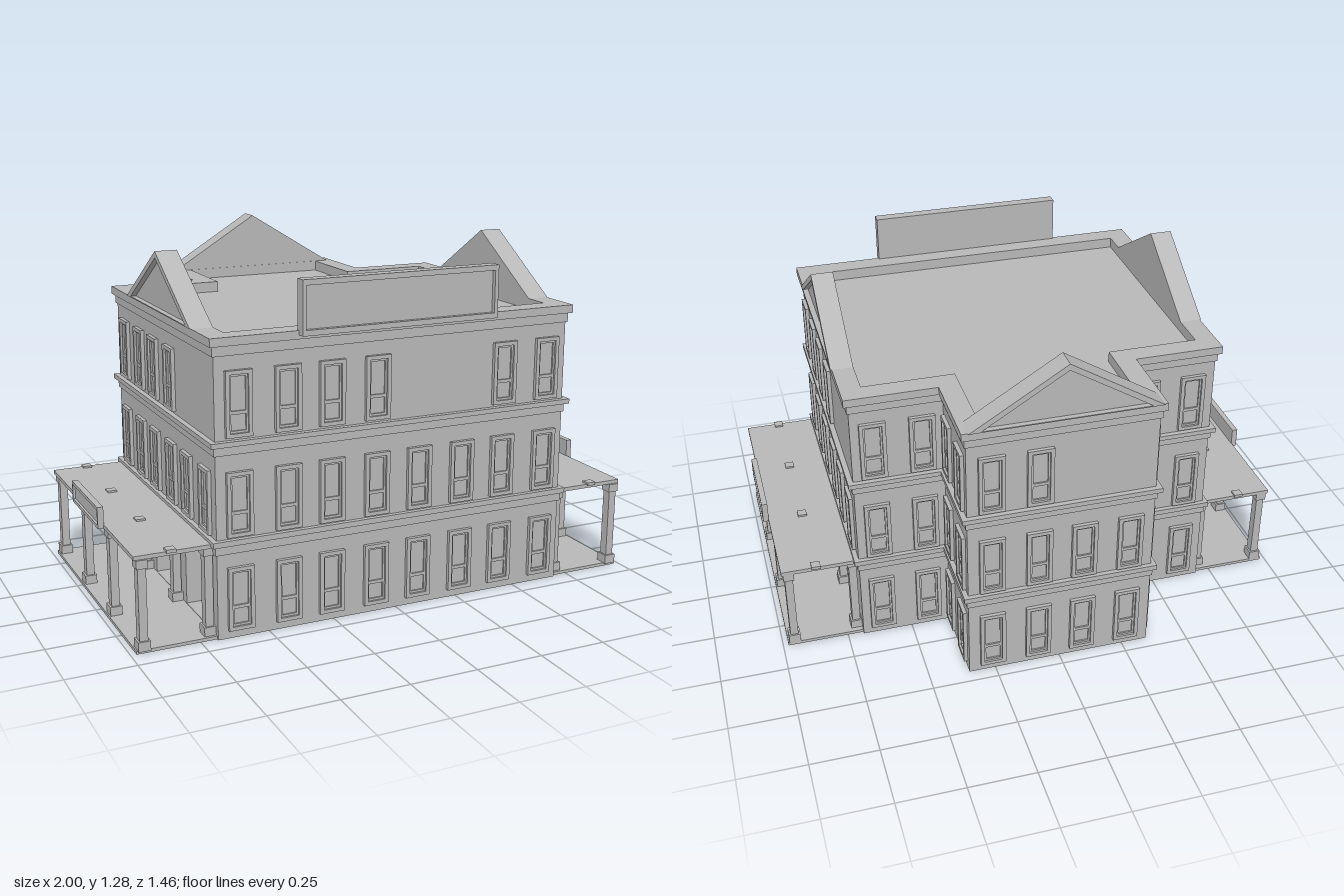
import * as THREE from 'three';

const stone = new THREE.MeshStandardMaterial({ color: 0xb8b8b8 });
stone.name = 'grey stone';

const HALF = 0.69, WING = 0.35, FRONT = 0.68, BACK = -0.38, WING_BACK = -0.70;

function add(parent, name, geo, x = 0, y = 0, z = 0, ry = 0) {
  const m = new THREE.Mesh(geo, stone);
  m.name = name;
  m.position.set(x, y, z);
  m.rotation.y = ry;
  parent.add(m);
  return m;
}

// Box given by its limits
function slab(parent, name, x0, x1, y0, y1, z0, z1) {
  return add(parent, name, new THREE.BoxGeometry(Math.abs(x1 - x0), y1 - y0, z1 - z0),
    (x0 + x1) / 2, (y0 + y1) / 2, (z0 + z1) / 2);
}

// T-shaped plan, grown outwards by o
function plan(o) {
  return [[-HALF - o, -FRONT - o], [HALF + o, -FRONT - o], [HALF + o, -BACK + o], [WING + o, -BACK + o],
    [WING + o, -WING_BACK + o], [-WING - o, -WING_BACK + o], [-WING - o, -BACK + o], [-HALF - o, -BACK + o]]
    .map(p => new THREE.Vector2(...p));
}

// Band around the plan, or a full slab when inner is null
function ring(parent, name, outer, inner, y0, y1) {
  const s = new THREE.Shape(plan(outer));
  if (inner !== null) s.holes.push(new THREE.Path(plan(inner)));
  const g = new THREE.ExtrudeGeometry(s, { depth: y1 - y0, bevelEnabled: false });
  g.rotateX(-Math.PI / 2);
  return add(parent, name, g, 0, y0, 0);
}

const rect = (x0, x1, y0, y1) =>
  [[x0, y0], [x1, y0], [x1, y1], [x0, y1]].map(p => new THREE.Vector2(...p));

function frame(outer, holes, depth) {
  const s = new THREE.Shape(outer);
  holes.forEach(h => s.holes.push(new THREE.Path(h)));
  return new THREE.ExtrudeGeometry(s, { depth, bevelEnabled: false });
}

// Sash window: outer architrave, with a thinner sash frame set inside
const architraveGeo = frame(rect(-0.048, 0.048, 0, 0.23), [rect(-0.034, 0.034, 0.014, 0.216)], 0.014);
const sashGeo = frame(rect(-0.034, 0.034, 0.014, 0.216),
  [rect(-0.027, 0.027, 0.022, 0.078), rect(-0.027, 0.027, 0.09, 0.208)], 0.006);

function windowAt(parent, x, y, z, ry) {
  const g = new THREE.Group();
  g.name = 'window';
  add(g, 'windowArchitrave', architraveGeo);
  add(g, 'windowSash', sashGeo);
  g.position.set(x, y, z);
  g.rotation.y = ry;
  parent.add(g);
}

// Framed board with a sunken face, standing on its base and facing +z
function board(parent, name, w, h, d, rim, x, y, z, ry) {
  const g = new THREE.Group();
  g.name = name;
  add(g, 'boardPanel', new THREE.BoxGeometry(w - 0.002, h - 0.002, d * 0.6), 0, h / 2, d * 0.3);
  add(g, 'boardFrame', frame(rect(-w / 2, w / 2, 0, h),
    [rect(-w / 2 + rim, w / 2 - rim, rim * 1.4, h - rim * 1.4)], d));
  g.position.set(x, y, z);
  g.rotation.y = ry;
  parent.add(g);
}

// Gabled pediment with a sunken triangle, facing +z
function pediment(parent, x, z, ry) {
  const tri = (w, y, h) => [[-w, y], [w, y], [0, h]].map(p => new THREE.Vector2(...p));
  const g = new THREE.Group();
  g.name = 'pediment';
  add(g, 'pedimentFrame', frame(tri(0.35, 0, 0.215), [tri(0.304, 0.004, 0.191)], 0.083));
  add(g, 'pedimentPanel', frame(tri(0.31, 0.002, 0.194), [], 0.062));
  g.position.set(x, 1.065, z);
  g.rotation.y = ry;
  parent.add(g);
}

// Square post with base and capital
function post(parent, name, x, z) {
  const g = new THREE.Group();
  g.name = name;
  slab(g, 'postBase', -0.022, 0.022, 0.01, 0.045, -0.025, 0.025);
  slab(g, 'postShaft', -0.015, 0.015, 0.045, 0.305, -0.018, 0.018);
  slab(g, 'postCapital', -0.02, 0.02, 0.305, 0.336, -0.023, 0.023);
  g.position.set(x, 0, z);
  parent.add(g);
}

// Side porch with three recessed entrances; s = 1 left, -1 right
function porch(parent, s) {
  const g = new THREE.Group();
  g.name = s > 0 ? 'leftPorch' : 'rightPorch';
  slab(g, 'porchFloor', s * 0.69, s * 0.98, 0, 0.012, -0.37, 0.67);
  slab(g, 'porchRoof', s * 0.69, s * 0.98, 0.335, 0.35, -0.37, 0.67);
  [0.655, 0.33, 0.005, -0.345].forEach(z => post(g, 'porchPost', s * 0.953, z));
  [0.635, 0.3, -0.045, -0.325].forEach(z => post(g, 'wallPost', s * 0.71, z));
  [0.66, 0.33, -0.02, -0.36].forEach(z =>
    slab(g, 'roofCap', s * 0.832, s * 0.866, 0.345, 0.357, z - 0.017, z + 0.017));
  board(g, 'porchSign', 0.335, 0.08, 0.022, 0.009, s * 0.978, 0.335, 0.157, s * Math.PI / 2);
  // Wall piers between the entrances
  [[-0.38, -0.30], [-0.07, 0.02], [0.275, 0.36], [0.60, 0.68]].forEach(([a, b]) =>
    slab(g, 'pier', s * 0.63, s * 0.69, 0, 0.335, a, b));
  // Entrance recesses
  [[-0.30, -0.07], [0.02, 0.275], [0.36, 0.60]].forEach(([a, b]) => {
    slab(g, 'threshold', s * 0.57, s * 0.69, 0, 0.014, a, b);
    slab(g, 'entranceBack', s * 0.56, s * 0.57, 0, 0.335, a, b);
    slab(g, 'entranceLintel', s * 0.56, s * 0.69, 0.32, 0.335, a, b);
    slab(g, 'entranceSide', s * 0.56, s * 0.64, 0, 0.335, a - 0.01, a);
    slab(g, 'entranceSide', s * 0.56, s * 0.64, 0, 0.335, b, b + 0.01);
  });
  parent.add(g);
}

export function createModel() {
  const model = new THREE.Group();
  model.name = 'building';

  // Ground-floor walls
  const T = 0.02;
  slab(model, 'frontWall', -HALF, HALF, 0, 0.335, FRONT - T, FRONT);
  slab(model, 'wingBackWall', -WING, WING, 0, 0.335, WING_BACK, WING_BACK + T);
  for (const s of [1, -1]) {
    slab(model, 'backWall', s * WING, s * HALF, 0, 0.335, BACK, BACK + T);
    slab(model, 'wingSideWall', s * (WING - T), s * WING, 0, 0.335, WING_BACK, BACK + T);
  }

  // Upper walls, string courses, cornice, parapet and sunken roof
  ring(model, 'upperWalls', 0, -T, 0.33, 1.01);
  ring(model, 'lowerFrieze', 0.006, -0.005, 0.31, 0.342);
  ring(model, 'lowerLedge', 0.018, -0.005, 0.342, 0.362);
  ring(model, 'upperFrieze', 0.006, -0.005, 0.66, 0.692);
  ring(model, 'upperLedge', 0.02, -0.005, 0.692, 0.71);
  ring(model, 'corniceFrieze', 0.006, -0.06, 1.0, 1.035);
  ring(model, 'parapet', 0.018, -0.06, 1.035, 1.065);
  ring(model, 'roof', -0.01, null, 1.01, 1.025);

  // Windows
  const front = [-0.605, -0.425, -0.26, -0.085, 0.085, 0.26, 0.43, 0.61];
  const side = [0.59, 0.41, 0.245, 0.065, -0.10, -0.28];
  [0.03, 0.37, 0.72].forEach((y, level) => {
    front.forEach((x, i) => {
      if (level < 2 || i < 4 || i > 5) windowAt(model, x, y, FRONT, 0);
      if (Math.abs(x) > 0.4) windowAt(model, x, y, BACK, Math.PI);
      else if (level < 2 || x > 0) windowAt(model, x, y, WING_BACK, Math.PI);
    });
    if (level > 0) side.forEach((z, i) => {
      if (level < 2 || i < 4) windowAt(model, HALF, y, z, Math.PI / 2);
      if (level < 2 || i > 1) windowAt(model, -HALF, y, z, -Math.PI / 2);
    });
    for (const s of [1, -1])
      [-0.445, -0.625].forEach(z => windowAt(model, s * WING, y, z, s * Math.PI / 2));
  });

  // Roofline pediments and front signboard
  pediment(model, 0.63, 0.175, Math.PI / 2);
  pediment(model, -0.63, 0.175, -Math.PI / 2);
  pediment(model, -0.005, -0.642, Math.PI);
  board(model, 'roofSign', 0.755, 0.19, 0.042, 0.014, -0.013, 1.05, 0.688, 0);

  porch(model, 1);
  porch(model, -1);
  return model;
}
